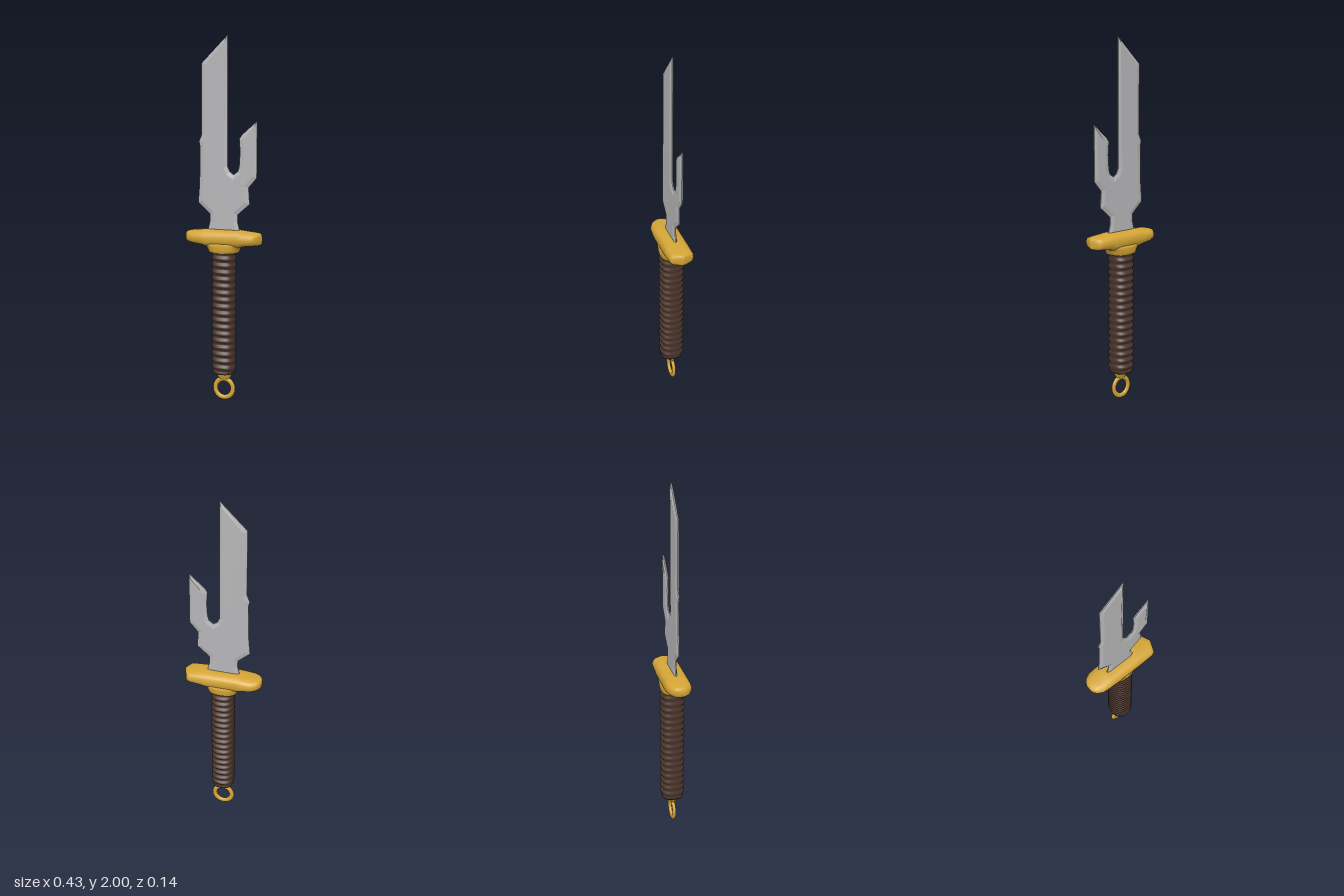
import * as THREE from 'three';

const steel = new THREE.MeshStandardMaterial({ name: 'steel', color: 0xb6b6b8 });
const gold = new THREE.MeshStandardMaterial({ name: 'gold', color: 0xd4a537 });
const leather = new THREE.MeshStandardMaterial({ name: 'brown leather', color: 0x4a342b });

// Rounded-square coordinate: power below 1 squares the circle off
const soft = (v, power) => Math.sign(v) * Math.abs(v) ** power;

// Skin a list of rings (arrays of [x, y, z], counter-clockwise about the axis) and cap both ends
function loft(rings) {
  const n = rings[0].length, pos = rings.flat(2), idx = [];
  for (let i = 0; i < rings.length - 1; i++) {
    for (let j = 0; j < n; j++) {
      const a = i * n + j, b = i * n + (j + 1) % n;
      idx.push(a, b, a + n, b, b + n, a + n);
    }
  }
  [0, rings.length - 1].forEach((r, end) => {
    const c = pos.length / 3;
    pos.push(...[0, 1, 2].map(k => rings[r].reduce((s, p) => s + p[k], 0) / n));
    for (let j = 0; j < n; j++) {
      const a = r * n + j, b = r * n + (j + 1) % n;
      if (end) idx.push(c, a, b); else idx.push(c, b, a);
    }
  });
  const g = new THREE.BufferGeometry();
  g.setAttribute('position', new THREE.Float32BufferAttribute(pos, 3));
  g.setIndex(idx);
  g.computeVertexNormals();
  return g;
}

function ring(n, point) {
  return Array.from({ length: n }, (_, j) => {
    const t = j / n * Math.PI * 2;
    return point(Math.cos(t), Math.sin(t));
  });
}

// Horizontal rings from rows of [y, half width, half depth]
const column = (rows, n, power) => loft(rows.map(([y, w, d]) =>
  ring(n, (c, s) => [w * soft(s, power), y, d * soft(c, power)])));

function add(group, name, geometry, material) {
  const mesh = new THREE.Mesh(geometry, material);
  mesh.name = name;
  group.add(mesh);
  return mesh;
}

export function createModel() {
  const model = new THREE.Group();
  model.name = 'dagger';

  // Forked blade: thin plate with ground edges
  const outline = [
    [-0.095, 0.94], [-0.08, 1.0], [-0.082, 1.04], [-0.148, 1.1], [-0.14, 1.2], [-0.136, 1.4],
    [-0.143, 1.43], [-0.127, 1.47], [-0.127, 1.85], [0.02, 2.0],
    [0.02, 1.3], [0.033, 1.272], [0.054, 1.257], [0.078, 1.275], [0.086, 1.3],
    [0.091, 1.38], [0.086, 1.45], [0.1, 1.472], [0.185, 1.548],
    [0.185, 1.245], [0.139, 1.19], [0.145, 1.1], [0.077, 1.04], [0.077, 1.0], [0.092, 0.94],
  ];
  const blade = new THREE.ExtrudeGeometry(
    new THREE.Shape(outline.map(([x, y]) => new THREE.Vector2(x, y))),
    { depth: 0.006, bevelSize: 0.022, bevelOffset: -0.022, bevelThickness: 0.007, bevelSegments: 1 });
  blade.translate(0, 0, -0.003);
  add(model, 'blade', blade, steel);

  // Crossguard: [x, bottom, top, half depth], round on one end and pointed on the other
  const guard = [
    [-0.216, 0.897, 0.93, 0.02], [-0.209, 0.888, 0.94, 0.036], [-0.195, 0.882, 0.944, 0.052],
    [-0.165, 0.876, 0.947, 0.067], [-0.12, 0.87, 0.952, 0.07], [-0.09, 0.862, 0.956, 0.07],
    [0.09, 0.862, 0.956, 0.07], [0.12, 0.87, 0.952, 0.07], [0.175, 0.877, 0.947, 0.069],
    [0.193, 0.879, 0.945, 0.062], [0.207, 0.882, 0.942, 0.026], [0.215, 0.888, 0.936, 0.006],
  ];
  add(model, 'guard', loft(guard.map(([x, lo, hi, d]) =>
    ring(20, (c, s) => [x, (lo + hi) / 2 + (hi - lo) / 2 * soft(c, 0.8), d * soft(s, 0.72)]))), gold);

  // Flared collar under the guard
  add(model, 'collar', column([
    [0.83, 0.07, 0.058], [0.834, 0.083, 0.065], [0.85, 0.089, 0.067],
    [0.866, 0.098, 0.068], [0.885, 0.125, 0.068],
  ], 24, 0.8), gold);

  // Grip with wrapped ridges, deepest on the front and back
  const low = 0.155, high = 0.84, steps = 144, wraps = 18;
  const rows = [];
  for (let i = 0; i <= steps; i++) {
    const t = i / steps, y = low + (high - low) * t;
    const end = 1 - 0.14 * Math.max(0, 1 - Math.min(t, 1 - t) / 0.02);
    rows.push(ring(28, (c, s) => {
      const wave = Math.cos(t * wraps * Math.PI * 2 + s * 0.5);
      const depth = 0.061 + 0.006 * wave, width = 0.0625 + 0.0015 * wave;
      return [width * end * soft(s, 0.8), y, depth * end * soft(c, 0.8)];
    }));
  }
  add(model, 'grip', loft(rows), leather);

  // Pommel neck and lanyard ring
  add(model, 'pommelNeck', column([
    [0.112, 0.022, 0.009], [0.125, 0.032, 0.014], [0.14, 0.042, 0.02], [0.16, 0.052, 0.026],
  ], 20, 0.9), gold);
  const loop = new THREE.TorusGeometry(0.051, 0.0135, 12, 40);
  loop.scale(1, 1.03, 0.75);
  add(model, 'pommelRing', loop, gold).position.y = 0.0665;

  return model;
}
